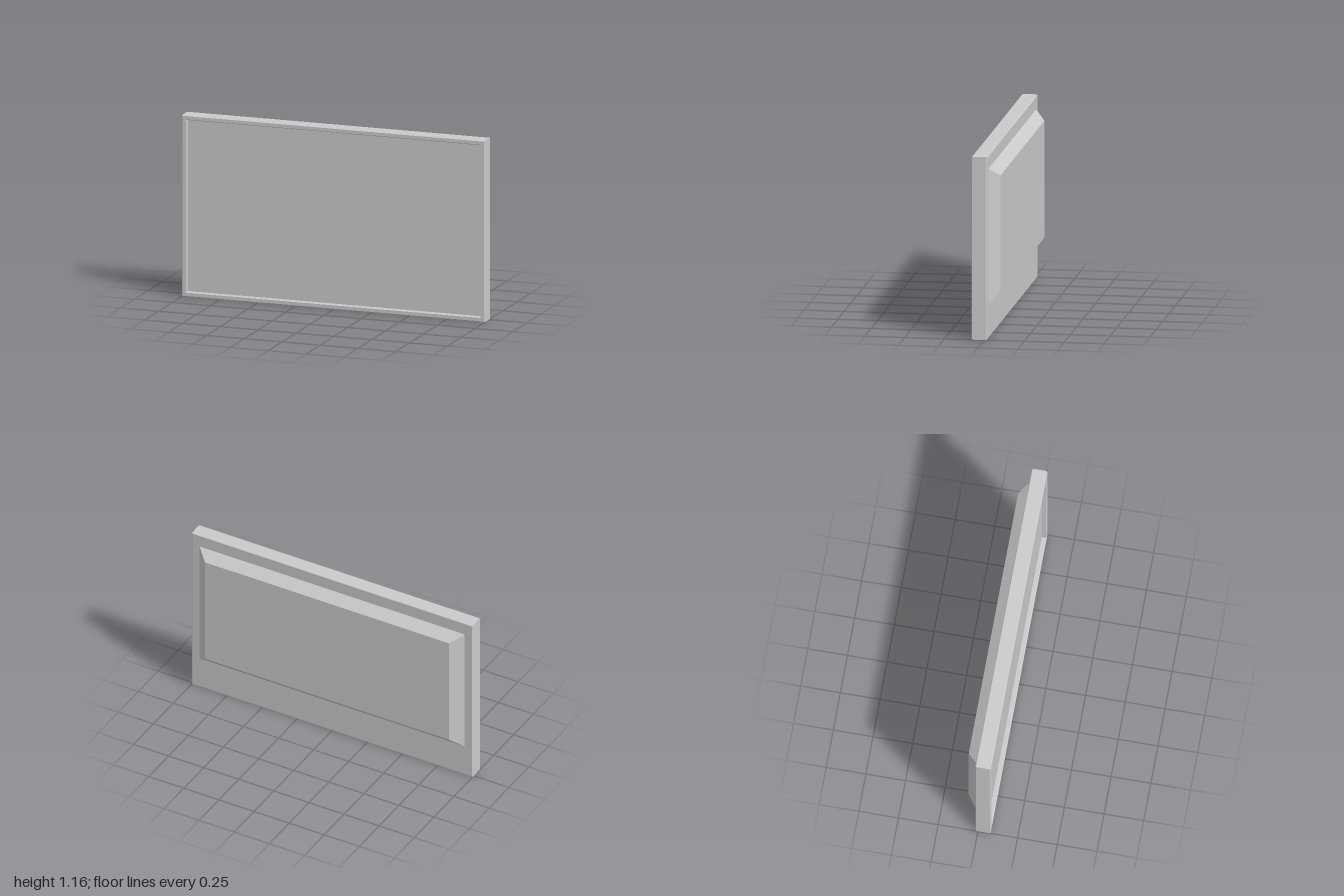
import * as THREE from 'three';

const material = new THREE.MeshStandardMaterial({ color: 0xcccccc, flatShading: true });

// Rectangular section: half width, bottom, top, depth position
const rect = (hx, y0, y1, z) => [[-hx, y0, z], [hx, y0, z], [hx, y1, z], [-hx, y1, z]];

// Joins rectangular sections in order, optionally closing the first (facing back) and last (facing front)
function loft(name, sections, capBack, capFront) {
  const positions = [];
  const quad = (a, b, c, d) => positions.push(...a, ...b, ...c, ...a, ...c, ...d);
  for (let s = 0; s < sections.length - 1; s++) {
    const p = sections[s], q = sections[s + 1];
    for (let i = 0; i < 4; i++) {
      const j = (i + 1) % 4;
      quad(p[i], p[j], q[j], q[i]);
    }
  }
  if (capBack) quad(...[...sections[0]].reverse());
  if (capFront) quad(...sections[sections.length - 1]);
  const geometry = new THREE.BufferGeometry();
  geometry.setAttribute('position', new THREE.Float32BufferAttribute(positions, 3));
  geometry.computeVertexNormals();
  const mesh = new THREE.Mesh(geometry, material);
  mesh.name = name;
  return mesh;
}

export function createModel() {
  const group = new THREE.Group();
  group.name = 'flatPanelDisplay';
  const H = 1.157, back = -0.017, front = 0.081, bevel = 0.005;
  const inset = (d, z) => rect(1 - d, d, H - d, z);

  // Bevelled casing with a raised rim around the screen recess
  group.add(loft('casing', [
    inset(bevel, back),
    inset(0, back + bevel),
    inset(0, front - bevel),
    inset(bevel, front),
    inset(0.026, front),
    inset(0.03, front - bevel),
    inset(0.03, front - 0.03),
  ], true, false));

  // Flat screen at the bottom of the recess
  group.add(loft('screen', [inset(0.03, front - 0.03)], false, true));

  // Tapered housing on the back
  group.add(loft('rearHousing', [
    rect(0.87, 0.28, 1.018, -0.081),
    rect(0.945, 0.217, 1.073, back),
  ], true, false));

  return group;
}
